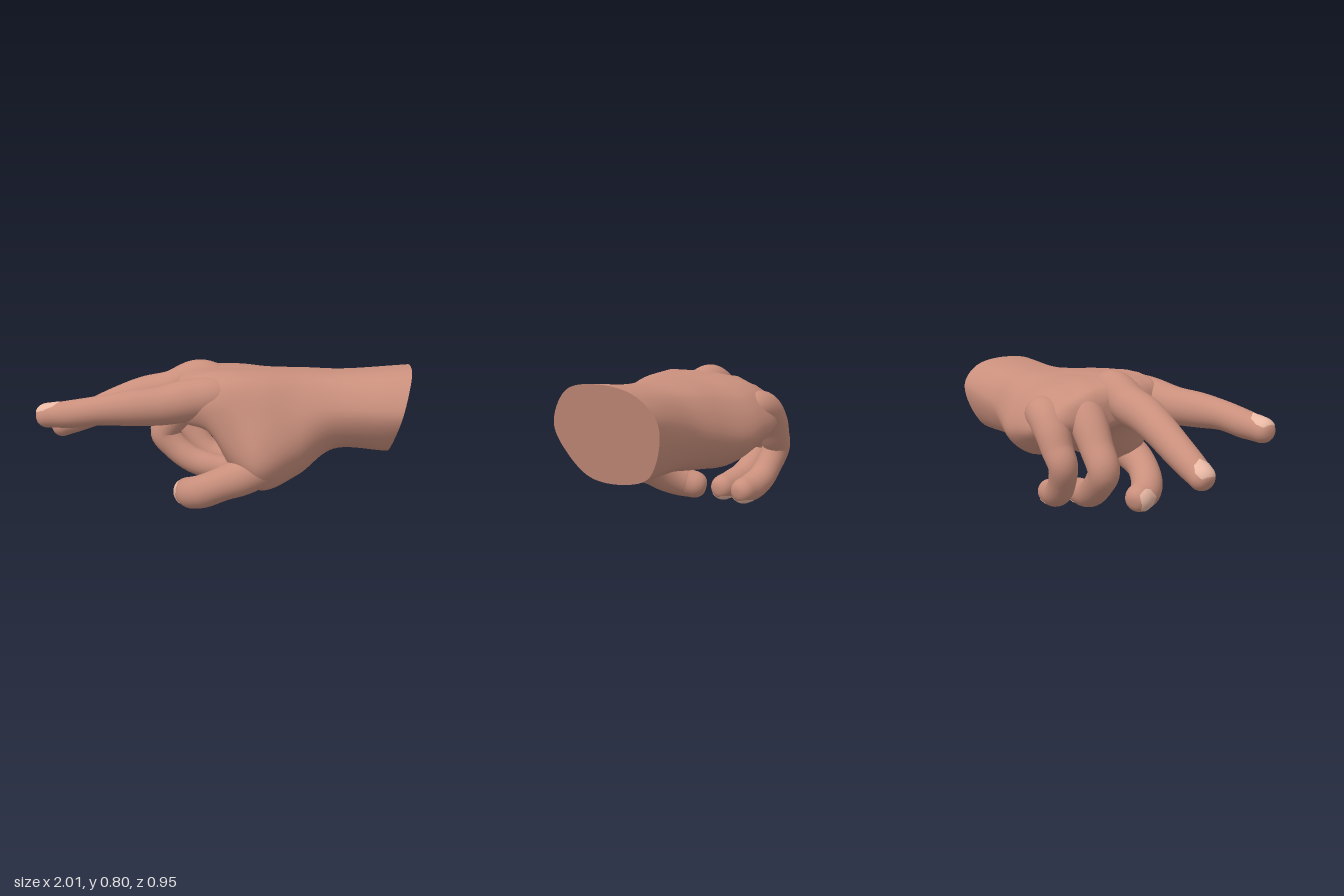
import * as THREE from 'three';

const V = (x, y, z) => new THREE.Vector3(x, y, z);
const skin = new THREE.MeshStandardMaterial({ color: 0xc98f7c });
const nailMat = new THREE.MeshStandardMaterial({ color: 0xe8b8a4, side: THREE.DoubleSide });

// Smooth grid surface from f(i, j) -> Vector3; closed joins the last column to the first.
function gridGeometry(rows, cols, f, closed) {
  const pos = [], idx = [];
  for (let i = 0; i <= rows; i++)
    for (let j = 0; j < cols; j++) pos.push(...f(i, j).toArray());
  for (let i = 0; i < rows; i++)
    for (let j = 0; j < (closed ? cols : cols - 1); j++) {
      const k = (j + 1) % cols, a = i * cols + j, b = i * cols + k;
      idx.push(a, b, a + cols, b, b + cols, a + cols);
    }
  const g = new THREE.BufferGeometry();
  g.setAttribute('position', new THREE.Float32BufferAttribute(pos, 3));
  g.setIndex(idx);
  g.computeVertexNormals();
  return g;
}

function addMesh(parent, name, geometry, material) {
  const m = new THREE.Mesh(geometry, material);
  m.name = name;
  parent.add(m);
}

// Palm and wrist sections, knuckles to wrist: x, lean, then nine (z, y) points
// clockwise from the top: top, thumb side, underside, little-finger side.
const SECTIONS = [
  [-0.17, 0, 0, .755, .23, .725, .315, .62, .28, .51, .16, .5, 0, .5, -.2, .46, -.425, .53, -.33, .66],
  [-0.06, 0, 0, .765, .25, .74, .338, .62, .31, .49, .2, .46, 0, .46, -.28, .38, -.465, .49, -.36, .675],
  [0.07, 0, -.03, .762, .25, .738, .335, .6, .345, .36, .25, .26, .02, .4, -.32, .335, -.475, .47, -.37, .67],
  [0.22, 0, -.06, .752, .21, .73, .325, .56, .395, .3, .27, .155, 0, .31, -.33, .305, -.473, .45, -.36, .66],
  [0.42, .03, -.1, .742, .12, .715, .25, .55, .28, .36, .17, .215, -.08, .285, -.33, .33, -.43, .48, -.33, .68],
  [0.62, .1, -.12, .74, .07, .71, .18, .56, .14, .41, .02, .325, -.18, .31, -.33, .36, -.4, .53, -.31, .69],
  [0.945, .24, -.14, .765, .05, .73, .165, .56, .11, .42, 0, .32, -.2, .305, -.355, .36, -.445, .6, -.35, .72],
];

function buildPalm(group) {
  const cols = 72, rows = 90;
  const loops = SECTIONS.map(([x, lean, ...p]) => {
    const pts = [];
    for (let k = 0; k < p.length; k += 2) pts.push(V(x + lean * (p[k + 1] - 0.54), p[k + 1], p[k]));
    return new THREE.CatmullRomCurve3(pts, true).getPoints(cols).slice(0, cols);
  });
  // Rounded closing between the finger roots
  const centre = V(-0.17, 0.61, -0.02), first = loops[0];
  for (const [scale, dx] of [[.87, -.055], [.55, -.09], [.01, -.1]])
    loops.unshift(first.map(p => p.clone().sub(centre).multiplyScalar(scale).add(centre).add(V(dx, 0, 0))));
  const lines = first.map((_, j) => new THREE.CatmullRomCurve3(loops.map(l => l[j])));

  // Soft tendon ridges converging from the knuckles towards the wrist
  const surface = (i, j) => {
    const p = lines[j].getPoint(i / rows);
    const along = THREE.MathUtils.clamp((p.x + 0.15) / 0.75, 0, 1);
    const top = THREE.MathUtils.clamp((p.y - 0.6) / 0.12, 0, 1);
    for (const z of [0.22, 0, -0.18, -0.33]) {
      const d = (p.z - THREE.MathUtils.lerp(z, -0.1 + z * 0.2, along)) / 0.03;
      p.y += 0.01 * top * (1 - along) * Math.exp(-d * d);
    }
    return p;
  };
  addMesh(group, 'palmAndWrist', gridGeometry(rows, cols, surface, true), skin);

  // Flat cut face at the wrist
  const rim = loops[loops.length - 1];
  const mid = V(0.945, 0.54, -0.14);
  addMesh(group, 'wristCap', gridGeometry(1, cols, (i, j) => (i ? mid : rim[j]), true), skin);
}

// Finger: a round tube through [x, y, z, radius] joints with a blunt domed tip and a nail.
// side is the axis the finger bends about; the nail lies on the tangent x side direction.
function buildFinger(group, name, joints, side, nailStart) {
  const path = new THREE.CatmullRomCurve3(joints.map(j => V(j[0], j[1], j[2])));
  const radii = new THREE.SplineCurve(joints.map((j, i) => new THREE.Vector2(i, j[3])));
  // v 0..1 runs along the tube, 1..2 over the tip
  const at = (v, angle, lift = 0) => {
    const t = Math.min(v, 1), dome = Math.max(v - 1, 0) * Math.PI / 2;
    const T = path.getTangent(t);
    const N = T.clone().cross(side).normalize();
    const B = T.clone().cross(N);
    const r = radii.getPoint(t).y + lift;
    const ring = r * Math.pow(Math.max(Math.cos(dome), 0.001), 0.75);
    return path.getPoint(t)
      .addScaledVector(N, ring * Math.cos(angle))
      .addScaledVector(B, ring * Math.sin(angle))
      .addScaledVector(T, r * Math.sin(dome));
  };
  const finger = new THREE.Group();
  finger.name = name;
  const body = 64, tip = 14, cols = 36;
  addMesh(finger, name + 'Skin', gridGeometry(body + tip, cols,
    (i, j) => at(i <= body ? i / body : 1 + (i - body) / tip, j / cols * Math.PI * 2), true), skin);

  // Nail: a rounded patch just above the skin
  const n = 18;
  addMesh(finger, name + 'Nail', gridGeometry(n, n + 1, (i, j) => {
    const s = i / n * 2 - 1;
    const half = 0.95 * Math.sqrt(Math.max(1 - s ** 6, 0));
    return at(THREE.MathUtils.lerp(nailStart, 1.65, i / n), (j / n * 2 - 1) * half, 0.003);
  }, false), nailMat);
  group.add(finger);
}

export function createModel() {
  const hand = new THREE.Group();
  hand.name = 'hand';
  buildPalm(hand);

  // Each finger starts narrow, deep inside the palm
  const across = V(0, 0, 1);
  buildFinger(hand, 'indexFinger', [
    [.12, .63, .18, .06], [-.02, .645, .222, .1], [-.14, .63, .24, .112], [-.3, .605, .295, .102],
    [-.45, .6, .345, .093], [-.6, .592, .385, .077], [-.75, .573, .402, .072], [-.87, .563, .408, .063]], across, 0.915);
  buildFinger(hand, 'middleFinger', [
    [.12, .65, -.02, .06], [-.02, .675, 0, .09], [-.15, .69, 0, .108], [-.3, .63, .01, .104], [-.45, .6, .01, .098],
    [-.6, .55, .003, .087], [-.75, .485, 0, .079], [-.87, .432, 0, .071], [-.94, .4, 0, .063]], across, 0.92);
  buildFinger(hand, 'ringFinger', [
    [.08, .6, -.17, .06], [-.03, .635, -.18, .09], [-.13, .62, -.19, .105], [-.23, .54, -.197, .1],
    [-.32, .43, -.2, .088], [-.393, .325, -.2, .083], [-.33, .24, -.195, .078], [-.23, .17, -.18, .076],
    [-.13, .14, -.168, .076], [-.04, .13, -.16, .069]], across, 0.93);
  buildFinger(hand, 'littleFinger', [
    [.1, .54, -.33, .06], [.01, .57, -.357, .09], [-.08, .57, -.37, .1], [-.17, .5, -.377, .092], [-.22, .42, -.375, .083],
    [-.262, .345, -.365, .077], [-.215, .25, -.347, .073], [-.15, .18, -.333, .074], [-.07, .145, -.32, .075],
    [0, .135, -.312, .069]], across, 0.92);
  buildFinger(hand, 'thumb', [
    [.5, .42, .06, .05], [.38, .37, .17, .085], [.25, .3, .26, .1], [.13, .24, .298, .1], [.02, .19, .295, .09],
    [-.09, .13, .255, .09], [-.16, .098, .2, .087], [-.19, .083, .146, .08]], V(0, -1, 0), 0.92);
  return hand;
}
